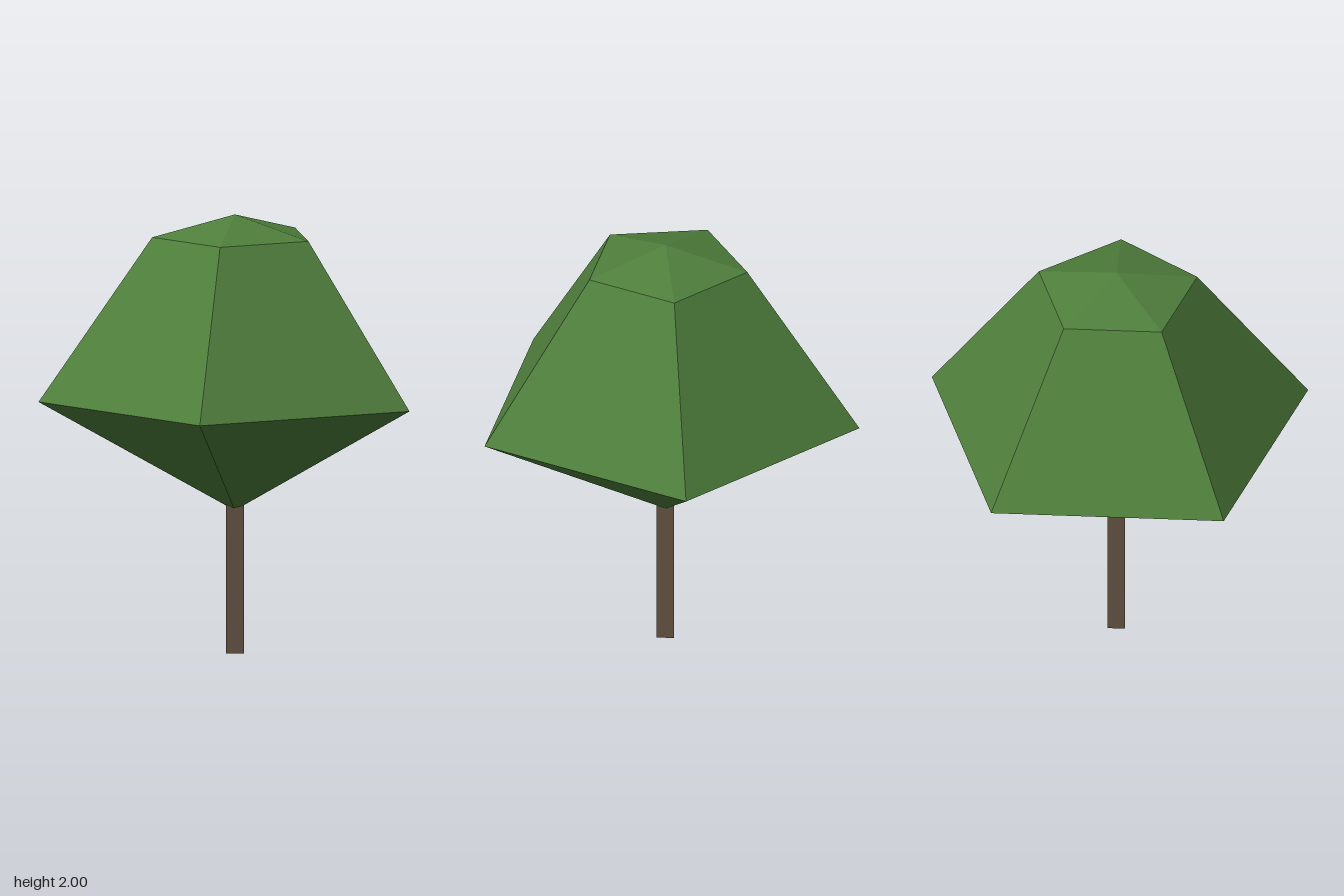
import * as THREE from 'three';

// Low-poly tree: a three-sided trunk under a five-sided faceted crown.
export function createModel() {
  const tree = new THREE.Group();
  tree.name = 'tree';

  const leafGreen = new THREE.MeshStandardMaterial({ color: 0x4f7f3c, flatShading: true });
  leafGreen.name = 'leafGreen';
  const barkBrown = new THREE.MeshStandardMaterial({ color: 0x645343, flatShading: true });
  barkBrown.name = 'barkBrown';

  const axisX = -0.086; // shared axis of trunk and crown
  const turn = Math.PI / 2; // puts one corner of each polygon on +x

  // Trunk: triangular prism, its top buried in the crown
  const trunkHeight = 0.7;
  const trunk = new THREE.Mesh(
    new THREE.CylinderGeometry(0.046, 0.046, trunkHeight, 3, 1, false, turn), barkBrown);
  trunk.name = 'trunk';
  trunk.position.set(axisX, trunkHeight / 2, 0);
  tree.add(trunk);

  // Crown: pointed underside, wide waist, sloped shoulder and shallow cap
  const profile = [[0, 0.65], [0.895, 1.162], [0.377, 1.903], [0, 2]]
    .map(([r, y]) => new THREE.Vector2(r, y));
  const crown = new THREE.Mesh(new THREE.LatheGeometry(profile, 5, turn), leafGreen);
  crown.name = 'crown';
  crown.position.x = axisX;
  tree.add(crown);

  return tree;
}
